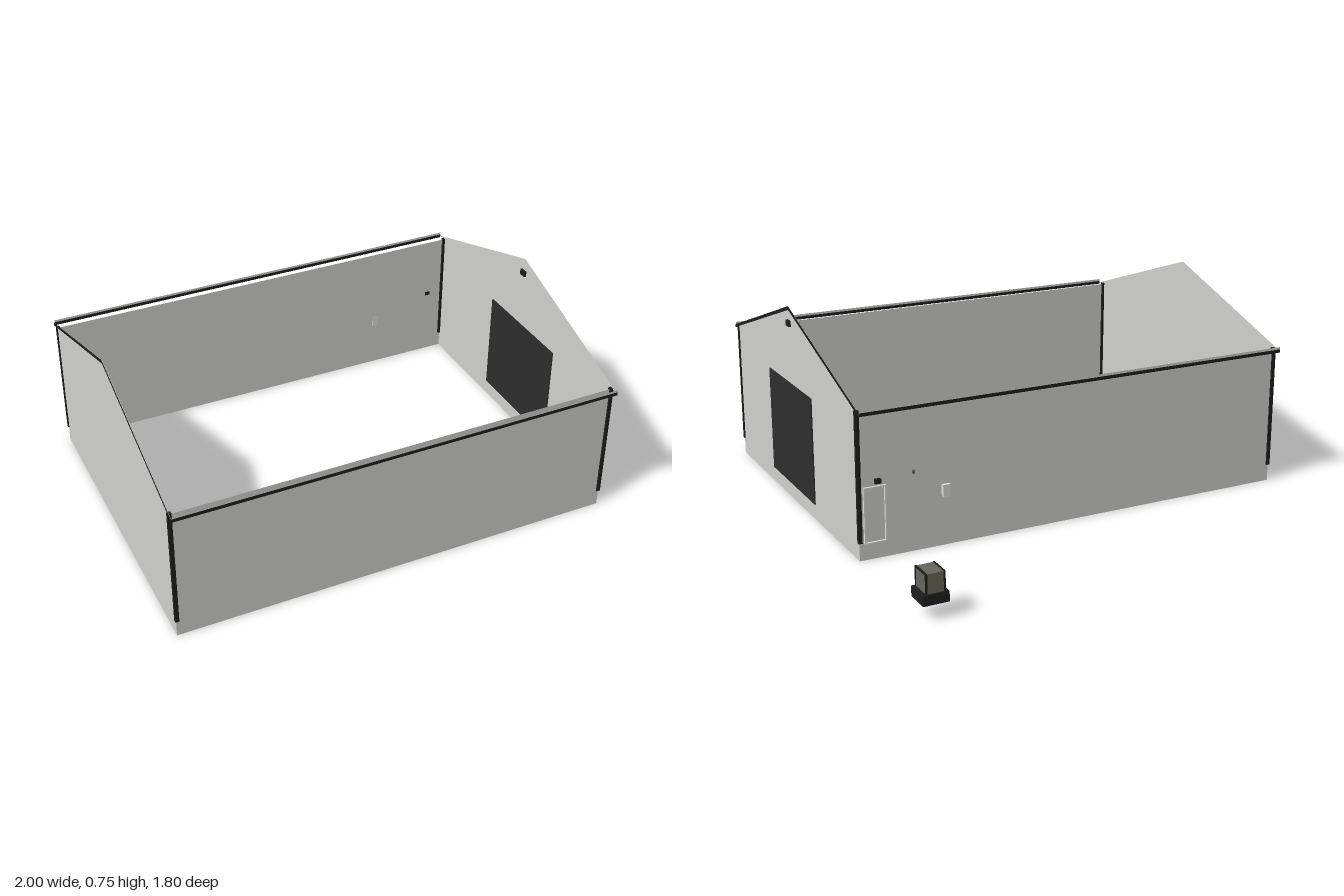
import * as THREE from 'three';

const mat = (name, color, side = THREE.FrontSide) => {
  const m = new THREE.MeshStandardMaterial({ color, side });
  m.name = name;
  return m;
};

export function createModel() {
  const wallMat = mat('pale grey cladding', 0xd2d2d0, THREE.DoubleSide);
  const trimMat = mat('black trim', 0x1e1e1e);
  const doorMat = mat('charcoal door', 0x2e2e2e);
  const whiteMat = mat('off white', 0xdedede);
  const unitMat = mat('olive grey metal', 0x67675a);

  const root = new THREE.Group();
  root.name = 'building';
  const model = new THREE.Group();
  model.name = 'rotatedSite';
  model.position.set(-0.045, 0, 0.095);
  model.rotation.y = -THREE.MathUtils.degToRad(10);
  root.add(model);

  const add = (name, geo, material, x, y, z, ry = 0) => {
    const mesh = new THREE.Mesh(geo, material);
    mesh.name = name;
    mesh.position.set(x, y, z);
    mesh.rotation.y = ry;
    model.add(mesh);
    return mesh;
  };
  const box = (name, material, w, h, d, x, y, z) =>
    add(name, new THREE.BoxGeometry(w, h, d), material, x, y, z);
  const shape = (pts) =>
    new THREE.ShapeGeometry(new THREE.Shape(pts.map(([x, y]) => new THREE.Vector2(x, y))));

  const L = 0.852, W = 0.625, E = 0.66; // half length, half width, half width at eaves
  const eaveY = 0.53, apexY = 0.75;

  // Gable ends with overhanging eaves, and their sloping edge trim
  const gable = shape([[-W, 0], [W, 0], [W, eaveY], [E, eaveY], [0, apexY], [-E, eaveY], [-W, eaveY]]);
  const rake = shape([[-E, eaveY - 0.006], [0, apexY - 0.011], [E, eaveY - 0.006],
    [E, eaveY + 0.006], [0, apexY + 0.003], [-E, eaveY + 0.006]]);
  for (const s of [1, -1]) {
    add('gableWall', gable, wallMat, s * L, 0, 0, s * Math.PI / 2);
    add('gableTrim', rake, trimMat, s * (L + 0.003), 0, 0, s * Math.PI / 2);
  }

  // Long walls, eave undersides, fascias and corner posts
  for (const s of [1, -1]) {
    const ry = s > 0 ? 0 : Math.PI;
    add('longWall', new THREE.PlaneGeometry(2 * L, eaveY), wallMat, 0, eaveY / 2, s * W, ry);
    const soffit = new THREE.PlaneGeometry(2 * L, E - W).rotateX(Math.PI / 2);
    add('eaveUnderside', soffit, whiteMat, 0, eaveY, s * (E + W) / 2);
    box('eaveFascia', trimMat, 2 * L, 0.012, 0.003, 0, eaveY, s * E);
    add('eaveEdge', new THREE.PlaneGeometry(2 * L, 0.009), wallMat, 0, eaveY + 0.0105, s * E, ry);
    for (const e of [1, -1])
      box('cornerPost', trimMat, 0.014, 0.47, 0.014, e * (L - 0.003), 0.3, s * (W - 0.001));
  }

  // Large gable door and the lamp above it
  box('largeDoor', doorMat, 0.009, 0.4, 0.45, L, 0.26, 0.02);
  box('gableLamp', trimMat, 0.018, 0.022, 0.03, L, 0.69, 0);

  // Small rear door frame with its lamp, switch and meter box
  const back = -W - 0.004;
  for (const x of [0.755, 0.832])
    box('rearDoorFrameSide', whiteMat, 0.005, 0.2, 0.008, x, 0.16, back);
  box('rearDoorFrameTop', whiteMat, 0.082, 0.005, 0.008, 0.7935, 0.26, back);
  box('rearDoorSill', whiteMat, 0.082, 0.004, 0.008, 0.7935, 0.062, back);
  box('rearLamp', trimMat, 0.022, 0.016, 0.014, 0.782, 0.28, back - 0.002);
  box('rearSwitch', unitMat, 0.009, 0.012, 0.008, 0.65, 0.29, back);
  box('meterBox', whiteMat, 0.028, 0.045, 0.014, 0.53, 0.203, back - 0.002);

  // Free-standing equipment unit on a dark base
  const ux = 0.81, uz = -1.108;
  box('unitBase', trimMat, 0.09, 0.036, 0.09, ux, 0.073, uz);
  box('unitBody', unitMat, 0.064, 0.067, 0.078, ux, 0.1245, uz);
  for (const sx of [1, -1]) {
    for (const sz of [1, -1])
      box('unitPost', trimMat, 0.006, 0.068, 0.006, ux + sx * 0.031, 0.125, uz + sz * 0.038);
    box('unitTopEdge', trimMat, 0.006, 0.005, 0.08, ux + sx * 0.031, 0.157, uz);
  }
  return root;
}
